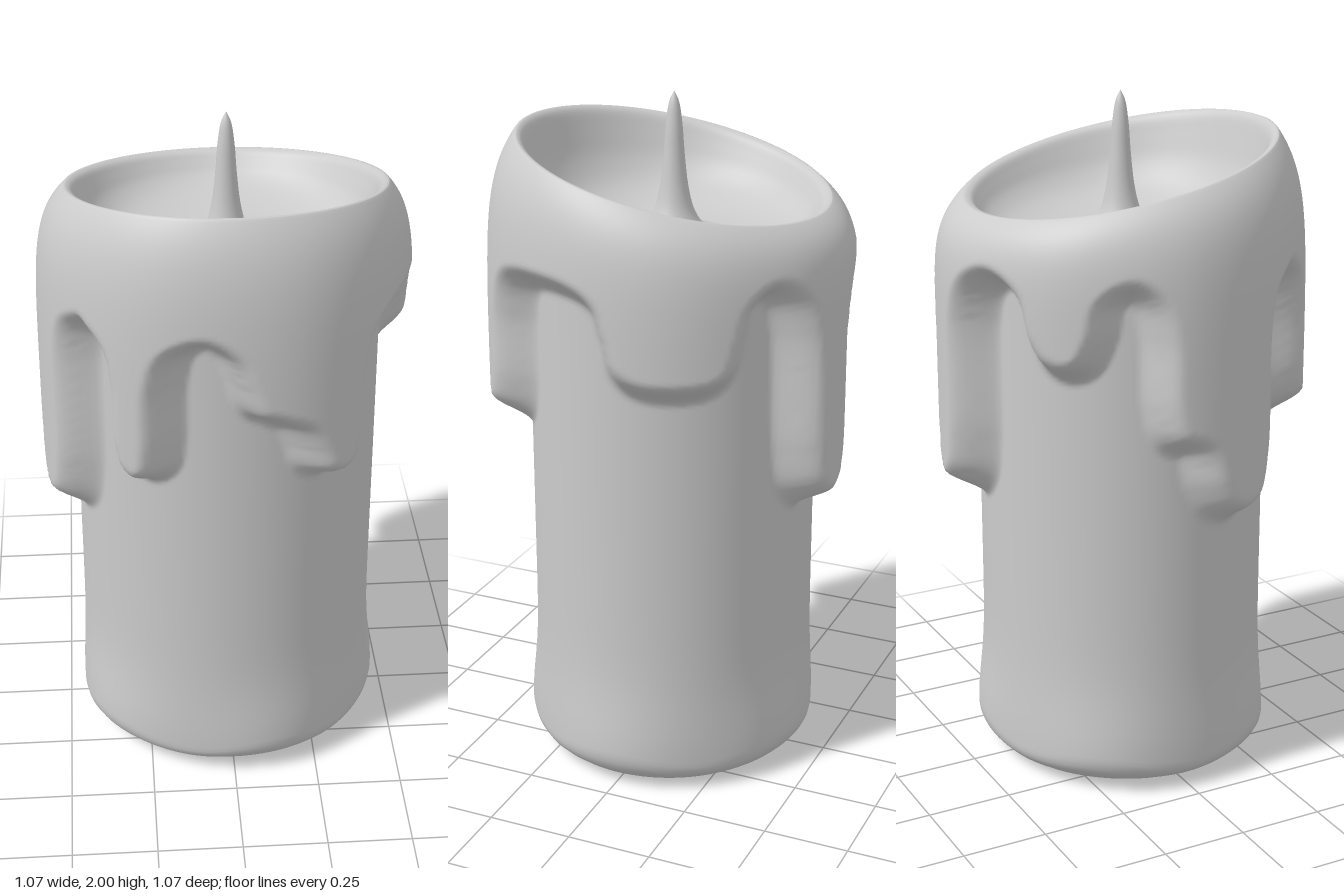
import * as THREE from 'three';

const { smoothstep, lerp, degToRad } = THREE.MathUtils;
const SEG = 240;
const ARC = degToRad(1) * 0.48;
const TURN = 360 * ARC;

// Lower edge of the melted wax, once around: [degrees from the front towards +x, height]
const EDGE = [
  [-53, 1.53], [-46, 1.48], [-43, 1.38], [-42, 1.2], [-39, 1.12], [-33, 1.09], [-27, 1.12], [-25, 1.2],
  [-24, 1.4], [-20, 1.5], [-11, 1.54], [-3, 1.5], [1, 1.42], [5, 1.33], [12, 1.3], [20, 1.26], [24, 1.19],
  [27, 1.12], [34, 1.09], [41, 1.12], [44, 1.2], [45, 1.4], [49, 1.5], [57, 1.535], [78, 1.535], [86, 1.5],
  [90, 1.42], [94, 1.32], [101, 1.28], [125, 1.28], [132, 1.32], [136, 1.42], [139, 1.5], [146, 1.54],
  [154, 1.5], [158, 1.4], [160, 1.05], [163, 0.93], [171, 0.88], [179, 0.93], [182, 1.05], [183, 1.4],
  [188, 1.5], [197, 1.54], [207, 1.5], [212, 1.38], [217, 1.32], [224, 1.3], [231, 1.32], [236, 1.4],
  [239, 1.5], [246, 1.535], [252, 1.5], [255, 1.4], [256, 1.2], [259, 1.11], [268, 1.07], [272, 0.96],
  [277, 0.89], [285, 0.865], [293, 0.9], [297, 1.02], [298, 1.4], [301, 1.49], [307, 1.53],
];
const edgeCurve = new THREE.CatmullRomCurve3(EDGE.map(([d, y]) => new THREE.Vector3(d * ARC, y, 0)));
edgeCurve.arcLengthDivisions = 3000;
const SAMPLES = edgeCurve.getSpacedPoints(1200);

const around = (x) => x - TURN * Math.round(x / TURN);

// Signed distance to the edge, positive inside the wax
function edgeDistance(deg, y) {
  if (y < 0.75) return -1;
  if (y > 1.7) return 1;
  let best = Infinity, at = 0;
  for (let i = 0; i < SAMPLES.length; i++) {
    const dx = around(deg * ARC - SAMPLES[i].x), dy = y - SAMPLES[i].y, d = dx * dx + dy * dy;
    if (d < best) { best = d; at = i; }
  }
  const p = SAMPLES[Math.max(0, at - 1)], q = SAMPLES[Math.min(SAMPLES.length - 1, at + 1)], s = SAMPLES[at];
  const side = (q.x - p.x) * (y - s.y) - (q.y - p.y) * around(deg * ARC - s.x);
  return Math.sqrt(best) * Math.sign(side);
}

// The wax is thinner where the nearby edge is high, thicker above drips
function waxThinness(deg) {
  let sum = 0, weight = 0;
  for (const s of SAMPLES) {
    const w = Math.exp(-((around(deg * ARC - s.x) / (15 * ARC)) ** 2));
    sum += w * s.y;
    weight += w;
  }
  return smoothstep(sum / weight, 1.15, 1.52);
}

// Tilted rim, high at the front
const rimHeight = (a) => 1.795 + 0.1 * Math.cos(a);

// Radius of the outer wall
function wallRadius(a, deg, y, thin) {
  const oval = 1 - 0.06 * Math.cos(a) ** 2;
  const foot = Math.exp(-(((y - 0.1) / 0.18) ** 2));
  const base = (0.441 + foot * (0.018 + 0.007 * Math.sin(5 * a))) * oval;
  const depth = Math.max(0, rimHeight(a) - y);
  const coat = 0.452 + (0.091 - 0.012 * thin) * (1 - Math.exp(-depth / (0.09 + 0.03 * Math.cos(a))));
  return lerp(base, coat, smoothstep(edgeDistance(deg, y), -0.055, 0.045));
}

// Rim and bowl: [radius, fraction of the way down from rim to floor]
const BOWL = new THREE.SplineCurve([
  [0.452, 0], [0.442, 0], [0.426, 0.06], [0.408, 0.25], [0.38, 0.52], [0.33, 0.76], [0.25, 0.92], [0.15, 0.99], [0, 1],
].map(([r, f]) => new THREE.Vector2(r, f))).getPoints(32);

function candleBody() {
  const columns = [];
  for (let j = 0; j < SEG; j++) {
    const deg = (j * 360) / SEG, a = degToRad(deg), thin = waxThinness(deg);
    const column = [[0, 0.005]];
    // rounded foot, cut back more on one corner
    const turn = 0.095 + 0.015 * Math.sin(5 * a);
    const inset = 0.16 + 0.03 * Math.cos(a + Math.PI / 4);
    const footRadius = wallRadius(a, deg, turn, thin);
    for (let k = 0; k <= 8; k++) {
      const t = (k / 8) * Math.PI / 2;
      column.push([footRadius - inset * (1 - Math.sin(t)), 0.005 + (turn - 0.005) * (1 - Math.cos(t))]);
    }
    // wall with drips
    for (let k = 1; k < 130; k++) {
      const y = lerp(turn, rimHeight(a), 1 - (1 - k / 130) ** 1.15);
      column.push([wallRadius(a, deg, y, thin), y]);
    }
    // rim and bowl
    for (const p of BOWL) column.push([Math.max(0, p.x), lerp(rimHeight(a), 1.59, p.y)]);
    columns.push(column);
  }

  const rows = columns[0].length, position = [], index = [];
  for (let i = 0; i < rows; i++) {
    for (let j = 0; j < SEG; j++) {
      const [r, y] = columns[j][i], a = (j / SEG) * Math.PI * 2;
      position.push(r * Math.sin(a), y, r * Math.cos(a));
      if (i === rows - 1) continue;
      const p = i * SEG + j, q = i * SEG + ((j + 1) % SEG);
      index.push(p, q, q + SEG, p, q + SEG, p + SEG);
    }
  }
  const geometry = new THREE.BufferGeometry();
  geometry.setAttribute('position', new THREE.Float32BufferAttribute(position, 3));
  geometry.setIndex(index);
  geometry.computeVertexNormals();
  return geometry;
}

// Pointed wick flaring into the bowl floor
function wick() {
  const profile = new THREE.SplineCurve([
    [0.18, 1.59], [0.13, 1.595], [0.085, 1.615], [0.057, 1.66], [0.04, 1.73], [0.03, 1.82], [0.024, 1.9], [0.015, 1.965], [0, 2],
  ].map(([r, y]) => new THREE.Vector2(r, y))).getPoints(32);
  profile.forEach((p) => { p.x = Math.max(0, p.x); });
  return new THREE.LatheGeometry(profile, 32);
}

export function createModel() {
  const group = new THREE.Group();
  group.name = 'candle';
  const material = new THREE.MeshStandardMaterial({ color: 0xcccccc });
  const add = (name, geometry) => {
    const mesh = new THREE.Mesh(geometry, material);
    mesh.name = name;
    group.add(mesh);
  };
  add('waxBody', candleBody());
  add('wick', wick());
  return group;
}
